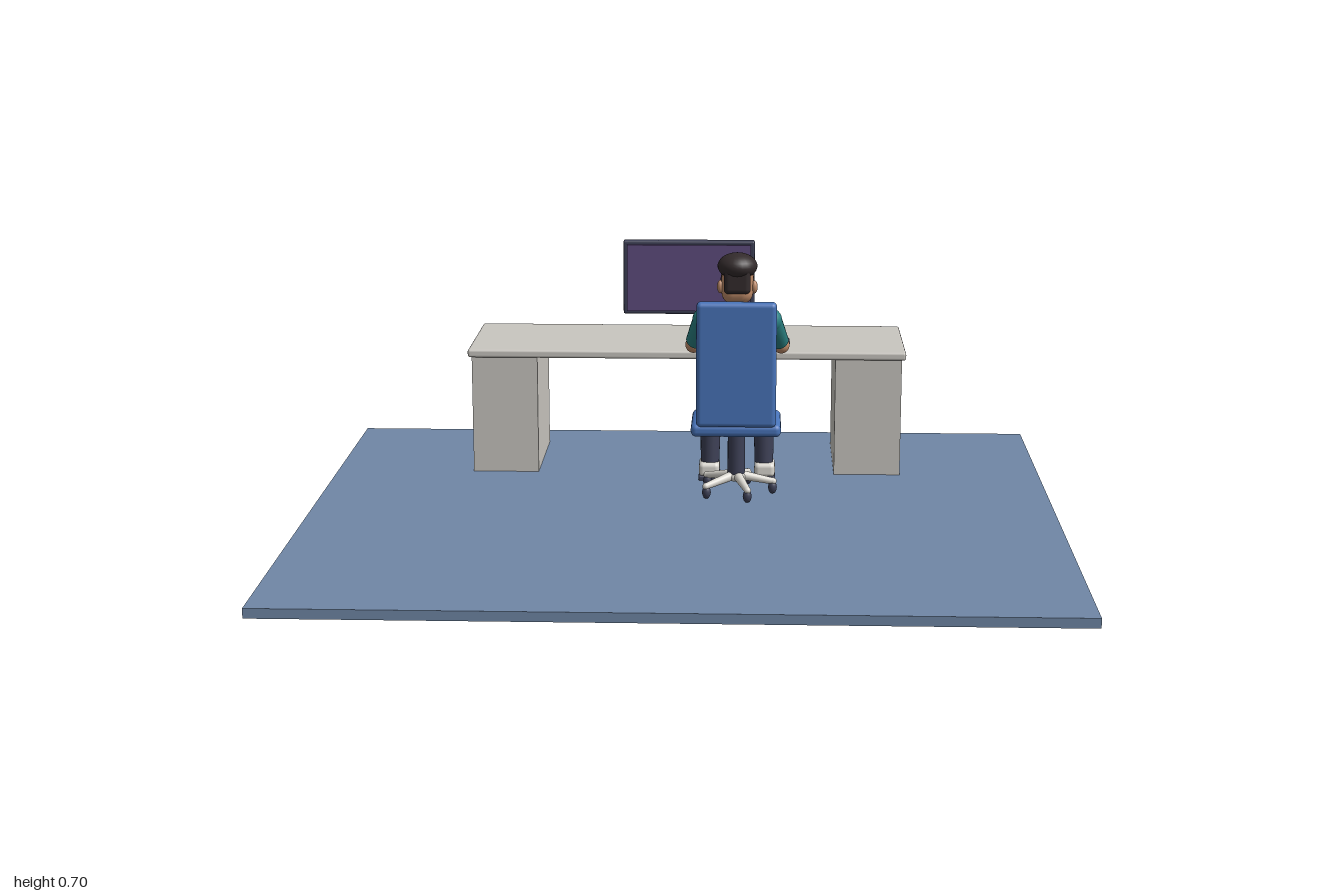
import * as THREE from 'three';
import { RoundedBoxGeometry } from 'three/addons/geometries/RoundedBoxGeometry.js';

const paint = (name, color) => {
  const m = new THREE.MeshStandardMaterial({ color });
  m.name = name;
  return m;
};

export function createModel() {
  const floorBlue = paint('floor blue', 0x7087a6);
  const stone = paint('stone grey', 0xc9c6c0);
  const blue = paint('chair blue', 0x4874ba);
  const navy = paint('dark navy', 0x3d4056);
  const purple = paint('screen purple', 0x5e4c7e);
  const teal = paint('shirt teal', 0x2b8283);
  const skin = paint('skin', 0xbd8a68);
  const hair = paint('hair brown', 0x332b2c);
  const white = paint('off white', 0xdcd9d2);

  const model = new THREE.Group();
  model.name = 'workstation';
  const group = (name) => {
    const g = new THREE.Group();
    g.name = name;
    model.add(g);
    return g;
  };
  const put = (parent, name, geo, mat, x = 0, y = 0, z = 0) => {
    const m = new THREE.Mesh(geo, mat);
    m.name = name;
    m.position.set(x, y, z);
    parent.add(m);
    return m;
  };
  // box from its limits, optionally rounded
  const box = (parent, name, mat, x0, x1, y0, y1, z0, z1, r = 0) => {
    const s = [x1 - x0, y1 - y0, z1 - z0];
    const geo = r ? new RoundedBoxGeometry(...s, 3, r) : new THREE.BoxGeometry(...s);
    return put(parent, name, geo, mat, (x0 + x1) / 2, (y0 + y1) / 2, (z0 + z1) / 2);
  };
  const ball = (parent, name, mat, x, y, z, rx, ry = rx, rz = rx) => {
    const m = put(parent, name, new THREE.SphereGeometry(1, 24, 16), mat, x, y, z);
    m.scale.set(rx, ry, rz);
    return m;
  };
  // tapered limb between two points
  const limb = (parent, name, mat, a, b, ra, rb) => {
    const from = new THREE.Vector3(...a);
    const to = new THREE.Vector3(...b);
    const dir = to.clone().sub(from);
    const m = put(parent, name, new THREE.CylinderGeometry(rb, ra, dir.length(), 20), mat);
    m.position.copy(from).add(to).multiplyScalar(0.5);
    m.quaternion.setFromUnitVectors(new THREE.Vector3(0, 1, 0), dir.normalize());
    return m;
  };

  box(model, 'floor', floorBlue, -1, 1, 0, 0.025, -0.857, 0.857);

  // Desk
  const desk = group('desk');
  box(desk, 'desktop', stone, -0.62, 0.616, 0.36, 0.383, -0.737, -0.36, 0.007);
  box(desk, 'rightPedestal', stone, -0.61, -0.424, 0.025, 0.362, -0.715, -0.374);
  box(desk, 'leftPedestal', stone, 0.418, 0.605, 0.025, 0.362, -0.715, -0.374);

  // Monitor
  const monitor = group('monitor');
  box(monitor, 'monitorCase', navy, -0.195, 0.188, 0.433, 0.65, -0.672, -0.641, 0.006);
  box(monitor, 'screen', purple, -0.184, 0.177, 0.444, 0.639, -0.641, -0.632);

  // Keyboard and mouse
  const keyboard = group('keyboard');
  box(keyboard, 'keyboardBase', navy, 0.031, 0.256, 0.383, 0.396, -0.5, -0.407, 0.004);
  const cols = 9, rows = 4;
  for (let r = 0; r < rows; r++) for (let c = 0; c < cols; c++) {
    const x = 0.036 + c * 0.0239, z = -0.493 + r * 0.0205;
    box(keyboard, 'key', white, x, x + 0.021, 0.396, 0.401, z, z + 0.018);
  }
  box(model, 'mouse', navy, 0.26, 0.29, 0.383, 0.401, -0.487, -0.427, 0.008);

  // Chair
  const cx = 0.143, cz = -0.17;
  const chair = group('chair');
  box(chair, 'backrest', blue, 0.035, 0.25, 0.24, 0.582, -0.086, -0.05, 0.013);
  box(chair, 'backPad', navy, 0.06, 0.226, 0.295, 0.565, -0.098, -0.084, 0.005);
  box(chair, 'seat', blue, 0.02, 0.264, 0.21, 0.246, -0.25, -0.06, 0.015);
  limb(chair, 'gasColumn', navy, [cx, 0.07, cz], [cx, 0.212, cz], 0.024, 0.024);
  ball(chair, 'baseHub', white, cx, 0.075, cz, 0.028, 0.016, 0.028);
  for (let i = 0; i < 5; i++) {
    const a = (i * Math.PI * 2) / 5, dx = Math.cos(a), dz = Math.sin(a);
    limb(chair, 'baseLeg', white, [cx, 0.08, cz], [cx + dx * 0.102, 0.06, cz + dz * 0.102], 0.014, 0.009);
    ball(chair, 'legTip', white, cx + dx * 0.102, 0.06, cz + dz * 0.102, 0.0095);
    ball(chair, 'caster', navy, cx + dx * 0.1, 0.043, cz + dz * 0.1, 0.012, 0.018, 0.012);
  }

  // Torso
  const person = group('person');
  ball(person, 'belly', teal, cx, 0.395, -0.172, 0.08, 0.088, 0.06);
  box(person, 'chest', teal, cx - 0.078, cx + 0.078, 0.41, 0.55, -0.222, -0.125, 0.03);
  box(person, 'hips', navy, cx - 0.085, cx + 0.085, 0.243, 0.3, -0.232, -0.1, 0.024);
  limb(person, 'neck', skin, [cx, 0.53, -0.172], [cx, 0.59, -0.176], 0.026, 0.024);

  // Head, facing the desk
  const head = new THREE.Group();
  head.name = 'head';
  person.add(head);
  box(head, 'face', skin, cx - 0.043, cx + 0.043, 0.558, 0.665, -0.226, -0.135, 0.032);
  ball(head, 'hairCap', hair, cx, 0.662, -0.169, 0.054, 0.036, 0.056);
  box(head, 'backHair', hair, cx - 0.036, cx + 0.036, 0.59, 0.67, -0.16, -0.125, 0.014);
  ball(head, 'nose', skin, cx, 0.608, -0.228, 0.009, 0.012, 0.011);
  box(head, 'mouth', hair, cx - 0.015, cx + 0.015, 0.58, 0.584, -0.23, -0.222);

  // Mirrored head details, arms and legs
  for (const s of [-1, 1]) {
    const side = s < 0 ? 'right' : 'left';
    const X = (d) => cx + s * d;
    const part = (n) => side + n;
    ball(head, part('Ear'), skin, X(0.046), 0.605, -0.167, 0.009, 0.018, 0.012);
    ball(head, part('Sideburn'), hair, X(0.038), 0.612, -0.187, 0.008, 0.036, 0.014);
    ball(head, part('Eye'), hair, X(0.018), 0.618, -0.224, 0.008, 0.007, 0.005);
    box(head, part('Brow'), hair, X(0.018) - 0.011, X(0.018) + 0.011, 0.629, 0.634, -0.23, -0.222);

    const shoulder = [X(0.088), 0.512, -0.175];
    const elbow = [X(0.121), 0.424, -0.262];
    const cuff = [X(0.116), 0.438, -0.248];
    const wrist = [X(0.076), 0.414, -0.402];
    ball(person, part('Shoulder'), teal, ...shoulder, 0.034);
    limb(person, part('Sleeve'), teal, shoulder, cuff, 0.033, 0.026);
    ball(person, part('Elbow'), skin, ...elbow, 0.023);
    limb(person, part('Forearm'), skin, elbow, wrist, 0.021, 0.014);
    ball(person, part('Hand'), skin, X(0.073), 0.412, -0.412, 0.018, 0.011, 0.02);
    for (let f = -1; f <= 1; f++) {
      limb(person, part('Finger'), skin, [X(0.072 + f * 0.009), 0.412, -0.418],
        [X(0.069 + f * 0.009), 0.409, -0.444], 0.0045, 0.0035);
    }

    const hip = [X(0.05), 0.288, -0.185];
    const knee = [X(0.074), 0.272, -0.338];
    const ankle = [X(0.076), 0.075, -0.323];
    ball(person, part('Hip'), navy, ...hip, 0.04);
    limb(person, part('Thigh'), navy, hip, knee, 0.039, 0.031);
    ball(person, part('Knee'), navy, ...knee, 0.031);
    limb(person, part('Shin'), navy, knee, ankle, 0.031, 0.026);
    box(person, part('Shoe'), white, X(0.078) - 0.029, X(0.078) + 0.029, 0.035, 0.076, -0.376, -0.29, 0.013);
    box(person, part('Sole'), navy, X(0.078) - 0.03, X(0.078) + 0.03, 0.025, 0.04, -0.38, -0.288, 0.005);
  }
  return model;
}
